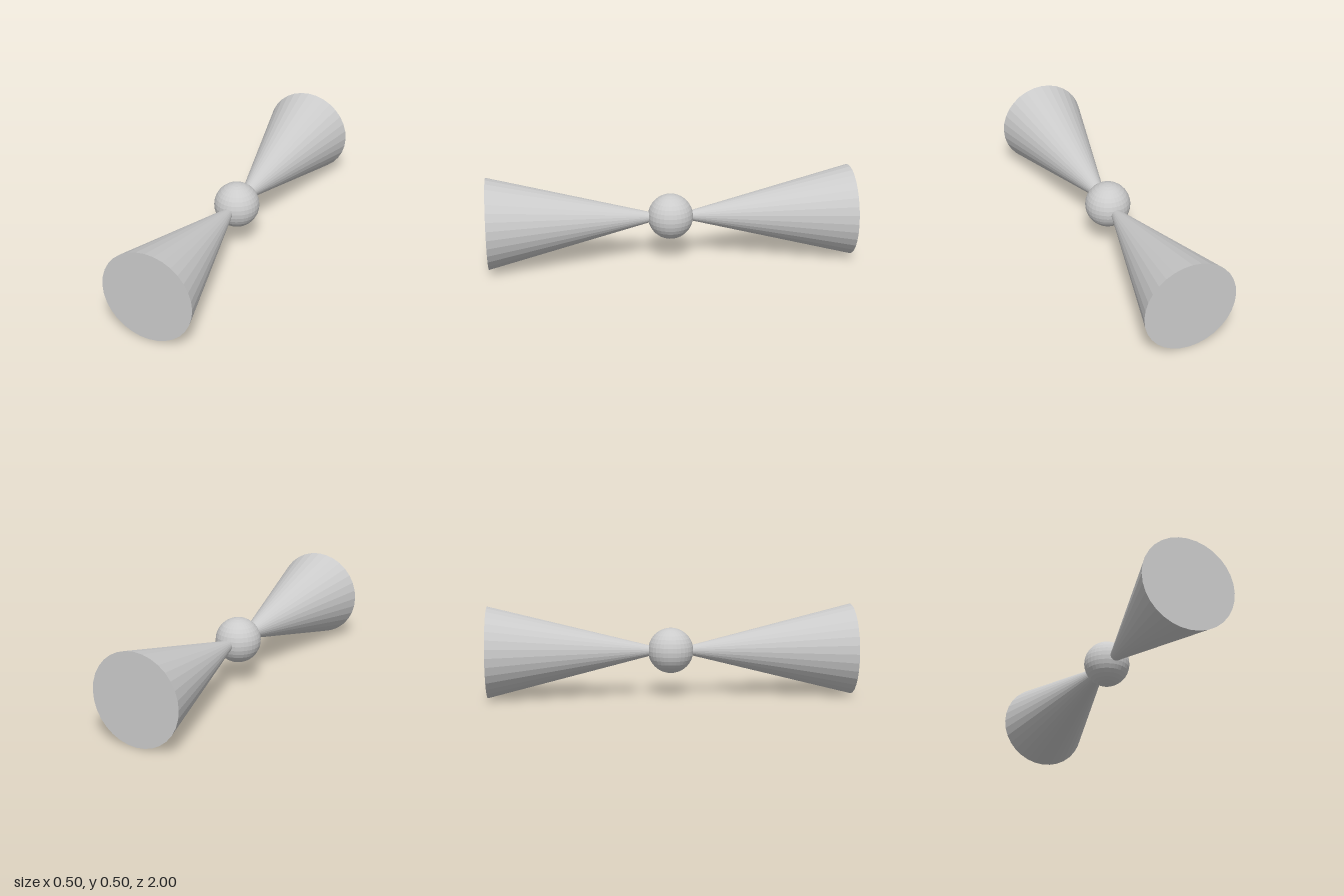
import * as THREE from 'three';

export function createModel() {
  const model = new THREE.Group();
  const material = new THREE.MeshStandardMaterial({ color: 0xcccccc, flatShading: true });
  const radius = 0.25;

  // Ball at the centre, poles up and down
  const ball = new THREE.Mesh(new THREE.SphereGeometry(radius / 2, 32, 16), material);
  ball.name = 'centreBall';
  ball.position.y = radius;
  model.add(ball);

  // Two cones whose tips meet inside the ball, capped bases at front and back
  for (const [name, side] of [['frontCone', 1], ['backCone', -1]]) {
    const geometry = new THREE.ConeGeometry(radius, 1, 32);
    geometry.translate(0, -0.5, 0); // tip at the origin
    geometry.rotateX(-side * Math.PI / 2); // base towards +z or -z
    const cone = new THREE.Mesh(geometry, material);
    cone.name = name;
    cone.position.y = radius;
    model.add(cone);
  }

  return model;
}
